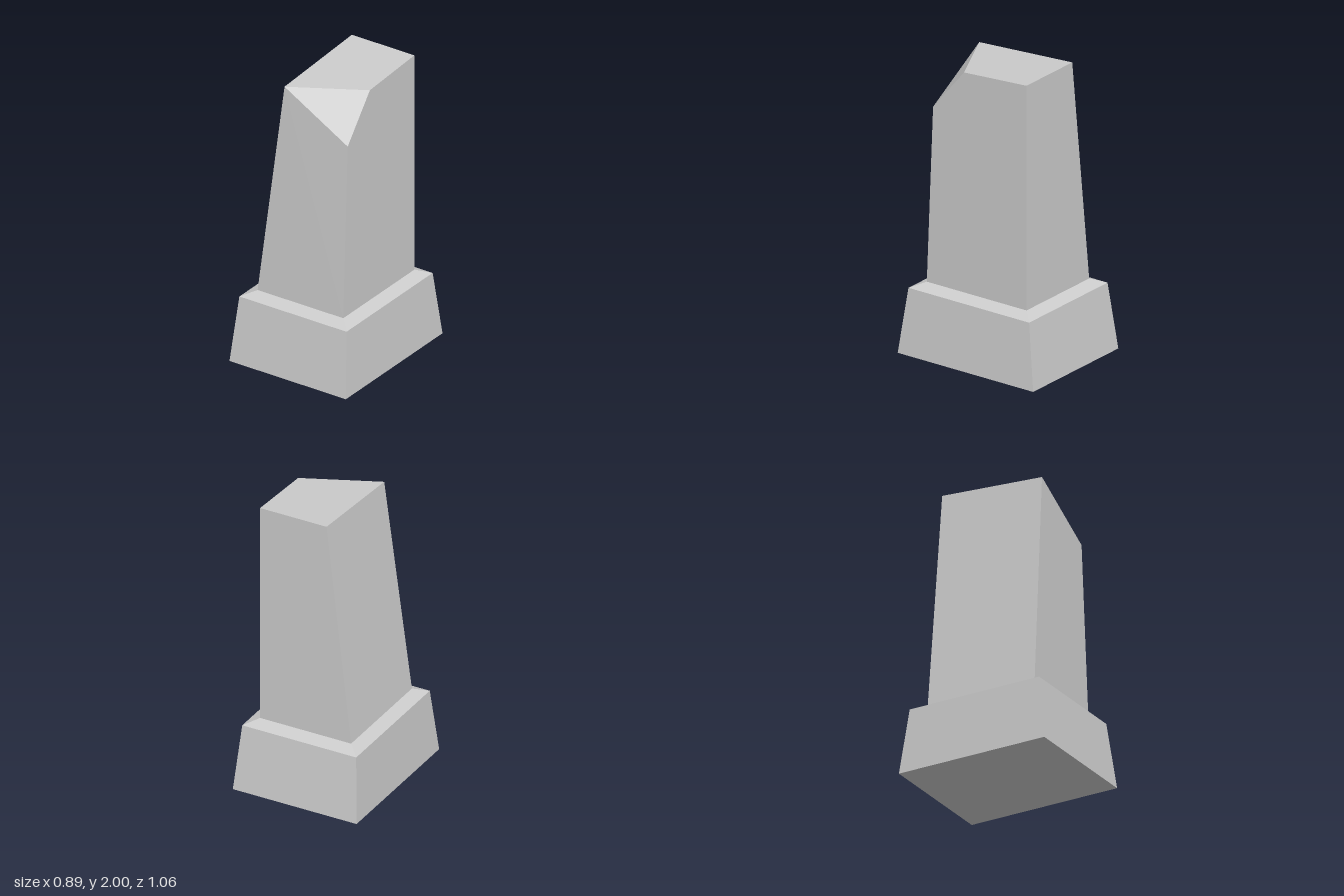
import * as THREE from 'three';
import { ConvexGeometry } from 'three/addons/geometries/ConvexGeometry.js';

// Four corners of a rectangle centred on the y axis at height y
const ring = (y, x, z) => [[-x, y, z], [x, y, z], [x, y, -z], [-x, y, -z]];

function solid(name, points, material) {
  const geometry = new ConvexGeometry(points.map((p) => new THREE.Vector3(...p)));
  const mesh = new THREE.Mesh(geometry, material);
  mesh.name = name;
  return mesh;
}

export function createModel() {
  const group = new THREE.Group();
  group.name = 'brokenPillar';
  const material = new THREE.MeshStandardMaterial({ color: 0xcccccc, flatShading: true });

  // Tapered plinth with a sloping ledge around the shaft
  group.add(solid('plinth', [
    ...ring(0, 0.443, 0.53),
    ...ring(0.443, 0.408, 0.472),
    ...ring(0.478, 0.326, 0.39),
  ], material));

  // Shaft leaning in on the right, with a slanted top and a chipped front left corner
  group.add(solid('shaft', [
    ...ring(0.478, 0.326, 0.39),
    [-0.15, 2, -0.39],
    [0.326, 2, -0.39],
    [-0.155, 1.953, 0.341],
    [0.326, 1.968, 0.098],
    [0.326, 1.675, 0.341],
  ], material));

  return group;
}
